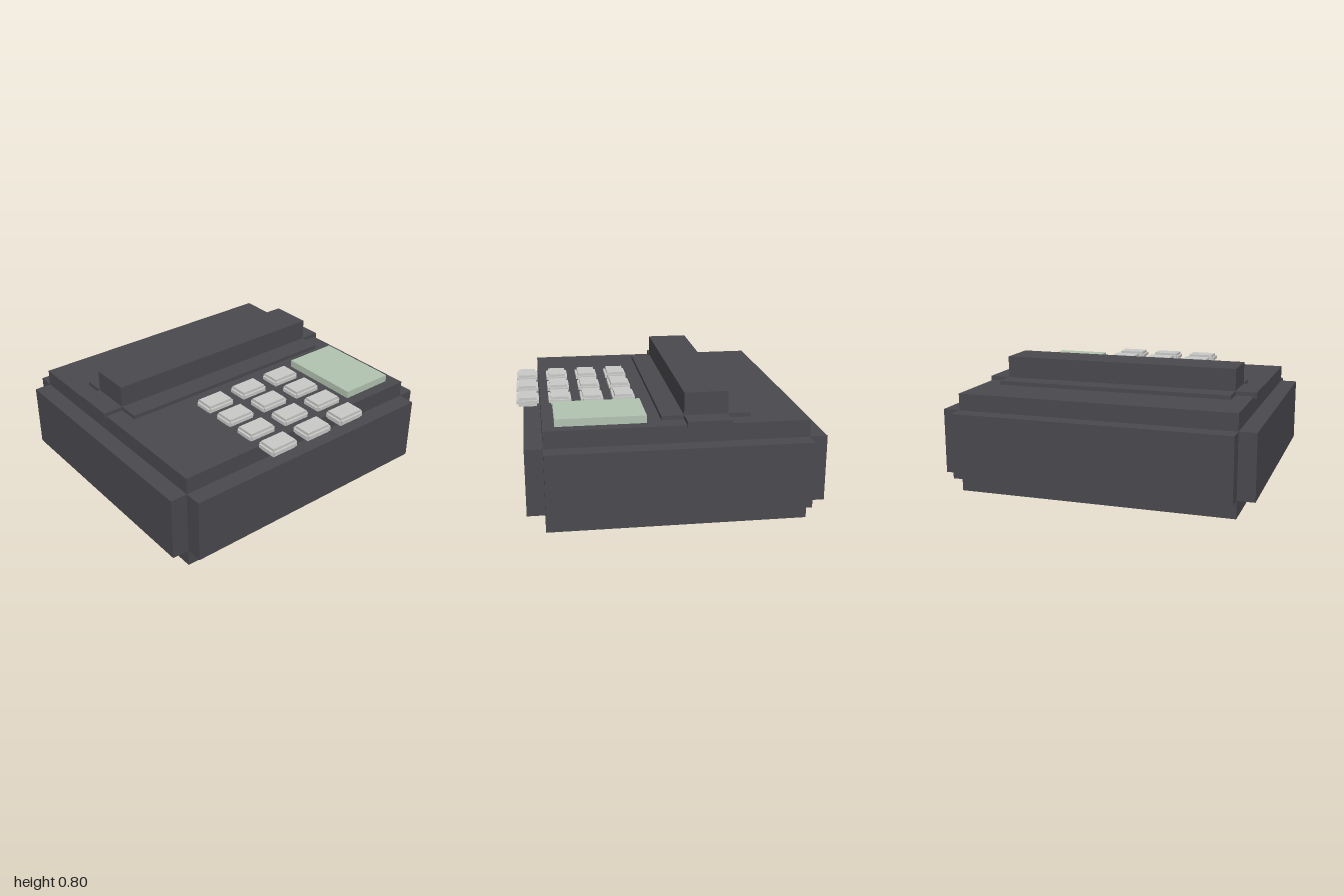
import * as THREE from 'three';

export function createModel() {
  const model = new THREE.Group();
  const mat = (name, color) => {
    const m = new THREE.MeshStandardMaterial({ color });
    m.name = name;
    return m;
  };
  const charcoal = mat('charcoal', 0x4a494e);
  const paleGreen = mat('paleGreen', 0xb2c4b1);
  const lightGrey = mat('lightGrey', 0xc9c9c7);

  // Box given by its [min, max] range on each axis
  function box(name, material, [x0, x1], [y0, y1], [z0, z1]) {
    const mesh = new THREE.Mesh(new THREE.BoxGeometry(x1 - x0, y1 - y0, z1 - z0), material);
    mesh.position.set((x0 + x1) / 2, (y0 + y1) / 2, (z0 + z1) / 2);
    mesh.name = name;
    return mesh;
  }

  // Block with stepped edges: three crossing slabs, each reaching full size along one axis
  function steppedBlock(name, material, outer, inner) {
    const group = new THREE.Group();
    group.name = name;
    ['SideSlab', 'TopSlab', 'FrontSlab'].forEach((label, axis) => {
      const ranges = inner.map((range, i) => (i === axis ? outer[i] : range));
      group.add(box(name + label, material, ...ranges));
    });
    return group;
  }

  // Housing
  model.add(steppedBlock('housing', charcoal,
    [[-1, 1], [0, 0.635], [-0.928, 0.89]],
    [[-0.89, 0.89], [0.113, 0.528], [-0.818, 0.78]]));

  // Handset lying across the top
  model.add(steppedBlock('handset', charcoal,
    [[-0.906, 0.906], [0.615, 0.8], [-0.478, 0.07]],
    [[-0.772, 0.772], [0.62, 0.66], [-0.337, -0.068]]));

  // Display panel
  model.add(box('display', paleGreen, [0.453, 0.813], [0.63, 0.682], [0.162, 0.708]));

  // Keypad, three columns by four rows
  const keypad = new THREE.Group();
  keypad.name = 'keypad';
  for (let row = 0; row < 4; row++) {
    for (let col = 0; col < 3; col++) {
      const key = steppedBlock('key', lightGrey,
        [[-0.1, 0.1], [-0.028, 0.028], [-0.071, 0.071]],
        [[-0.086, 0.086], [-0.011, 0.011], [-0.057, 0.057]]);
      key.position.set((col - 1) * 0.274, 0.657, 0.25 + row * 0.2025);
      keypad.add(key);
    }
  }
  model.add(keypad);

  return model;
}
